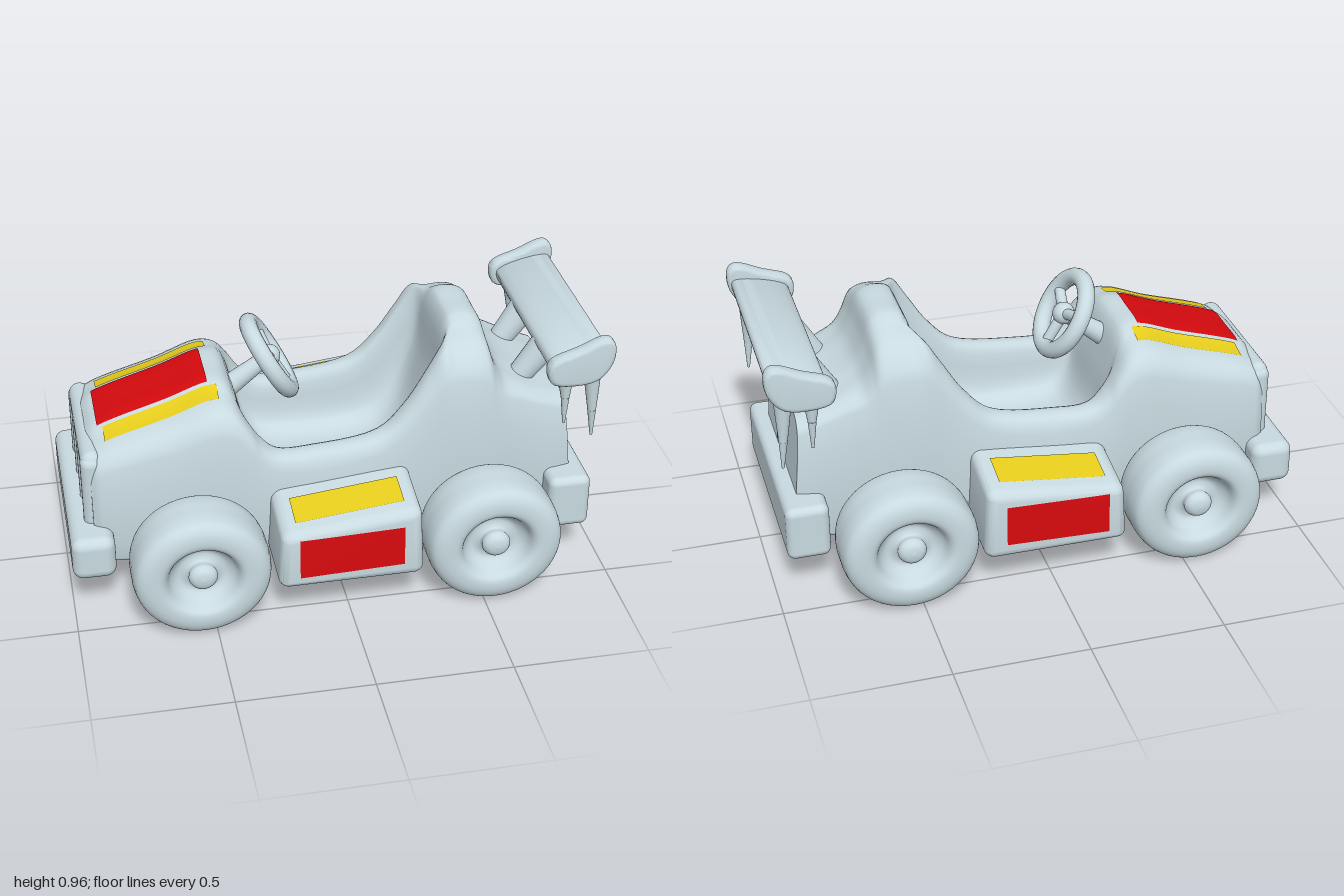
import * as THREE from 'three';
import { toCreasedNormals } from 'three/addons/utils/BufferGeometryUtils.js';
import { RoundedBoxGeometry } from 'three/addons/geometries/RoundedBoxGeometry.js';

const V = (x, y, z) => new THREE.Vector3(x, y, z);

// Body stations: x, half width, shoulder y, rim half width, rim y, inner half width, inner floor y
const STATIONS = [
  [-0.905, 0.285, 0.5, 0.25, 0.56, 0.17, 0.6],
  [-0.87, 0.305, 0.53, 0.265, 0.59, 0.17, 0.632],
  [-0.6, 0.32, 0.6, 0.275, 0.675, 0.17, 0.725],
  [-0.44, 0.328, 0.65, 0.28, 0.73, 0.17, 0.78],
  [-0.375, 0.33, 0.64, 0.285, 0.715, 0.19, 0.76],
  [-0.32, 0.335, 0.58, 0.3, 0.65, 0.22, 0.6],
  [-0.28, 0.335, 0.53, 0.3, 0.59, 0.23, 0.42],
  [-0.22, 0.335, 0.485, 0.31, 0.54, 0.24, 0.35],
  [-0.08, 0.34, 0.48, 0.31, 0.54, 0.245, 0.33],
  [0.16, 0.34, 0.525, 0.31, 0.58, 0.245, 0.34],
  [0.26, 0.338, 0.6, 0.3, 0.675, 0.24, 0.38],
  [0.34, 0.335, 0.7, 0.285, 0.8, 0.235, 0.48],
  [0.4, 0.335, 0.77, 0.27, 0.89, 0.215, 0.68],
  [0.44, 0.332, 0.785, 0.255, 0.89, 0.17, 0.94],
  [0.52, 0.33, 0.78, 0.255, 0.89, 0.17, 0.955],
  [0.565, 0.325, 0.76, 0.255, 0.87, 0.17, 0.93],
  [0.595, 0.32, 0.72, 0.255, 0.8, 0.17, 0.835],
  [0.63, 0.312, 0.69, 0.25, 0.745, 0.17, 0.77],
  [0.69, 0.3, 0.665, 0.25, 0.71, 0.17, 0.725],
  [0.8, 0.288, 0.62, 0.24, 0.66, 0.17, 0.68],
  [0.868, 0.275, 0.59, 0.23, 0.635, 0.16, 0.65],
];

// Smooth loft: closed cross-section splines, joined by splines along x
function bodyGeometry() {
  const M = 72, N = (STATIONS.length - 1) * 5, bottom = 0.15;
  const rings = STATIONS.map(([x, hw, ys, ht, yr, iw, fl]) => {
    const half = [
      [0, bottom], [hw * 0.5, bottom], [hw - 0.02, bottom], [hw, bottom + 0.02], [hw, ys], [ht, yr],
      [iw, yr + Math.max(0, fl - yr) * 0.6], [iw - 0.03, fl + (yr - fl) * 0.2], [iw * 0.6, fl], [0, fl],
    ];
    const loop = [...half, ...half.slice(1, -1).reverse().map(([z, y]) => [-z, y])];
    const slant = (y) => (x > 0.75 ? (0.65 - y) * 0.09 : 0);
    const curve = new THREE.CatmullRomCurve3(loop.map(([z, y]) => V(x + slant(y), y, z)), true);
    return Array.from({ length: M }, (_, j) => curve.getPoint(j / M));
  });
  const pos = [], idx = [];
  const lines = rings[0].map((_, j) => new THREE.CatmullRomCurve3(rings.map((r) => r[j])));
  for (let i = 0; i <= N; i++) lines.forEach((l) => pos.push(...l.getPoint(i / N).toArray()));
  for (let i = 0; i < N; i++) {
    for (let j = 0; j < M; j++) {
      const a = i * M + j, d = i * M + ((j + 1) % M);
      idx.push(a, a + M, d, a + M, d + M, d);
    }
  }
  // flat end caps with their own vertices
  [0, rings.length - 1].forEach((k) => {
    const c = pos.length / 3, ring = rings[k];
    const mid = ring.reduce((s, p) => s.add(p), V(0, 0, 0)).divideScalar(M);
    [mid, ...ring].forEach((p) => pos.push(...p.toArray()));
    for (let j = 0; j < M; j++) {
      const a = c + 1 + j, b = c + 1 + ((j + 1) % M);
      idx.push(c, ...(k ? [b, a] : [a, b]));
    }
  });
  const g = new THREE.BufferGeometry();
  g.setAttribute('position', new THREE.Float32BufferAttribute(pos, 3));
  g.setIndex(idx);
  g.computeVertexNormals();
  return g;
}

// Side pod: rounded box whose top rises to the rear and falls outward
function podGeometry(s) {
  const g = new RoundedBoxGeometry(0.54, 0.3, 0.36, 5, 0.04).translate(0, 0, s * 0.42);
  const p = g.attributes.position;
  for (let i = 0; i < p.count; i++) {
    const x = p.getX(i), z = p.getZ(i), t = (p.getY(i) + 0.15) / 0.3;
    const top = 0.432 + 0.11 * x - 0.17 * (Math.abs(z) - 0.42);
    p.setXYZ(i, x * (1 - 0.05 * t), 0.15 + t * (top - 0.15), z - s * 0.006 * t);
  }
  return toCreasedNormals(g, 0.7);
}

export function createModel() {
  const group = new THREE.Group();
  const mat = (name, color) => Object.assign(new THREE.MeshStandardMaterial({ color }), { name });
  const grey = mat('paleGrey', 0xc8dae0);
  const red = mat('red', 0xd60a0e);
  const yellow = mat('yellow', 0xf0d61e);
  red.side = yellow.side = THREE.DoubleSide;

  const add = (name, geo, material = grey, parent = group) => {
    const m = new THREE.Mesh(geo, material);
    m.name = name;
    parent.add(m);
    return m;
  };
  const box = (name, w, h, d, r, x, y, z) => add(name, new RoundedBoxGeometry(w, h, d, 5, r).translate(x, y, z));
  const rod = (name, a, b, ra, rb, parent = group) => {
    const m = add(name, new THREE.CylinderGeometry(rb, ra, a.distanceTo(b), 20), grey, parent);
    m.position.copy(a).lerp(b, 0.5);
    m.quaternion.setFromUnitVectors(V(0, 1, 0), b.clone().sub(a).normalize());
    return m;
  };
  // Thin painted panel draped on a part along a ray direction
  const decal = (name, target, material, corner, u, v, dir) => {
    const ray = new THREE.Raycaster();
    const g = new THREE.PlaneGeometry(1, 1, 16, 10);
    const p = g.attributes.position;
    for (let i = 0; i < p.count; i++) {
      const o = corner.clone().addScaledVector(u, p.getX(i) + 0.5).addScaledVector(v, p.getY(i) + 0.5);
      ray.set(o, dir);
      const hit = ray.intersectObject(target)[0];
      const q = (hit ? hit.point : o).clone().addScaledVector(dir, -0.004);
      p.setXYZ(i, q.x, q.y, q.z);
    }
    g.computeVertexNormals();
    add(name, g, material);
  };
  const down = V(0, -1, 0);

  // Body with open cockpit, and its painted panels
  const body = add('body', bodyGeometry());
  decal('hoodPanel', body, red, V(-0.86, 2, 0.125), V(0.41, 0, 0), V(0, 0, -0.25), down);
  for (const s of [1, -1]) {
    decal('hoodStripe', body, yellow, V(-0.84, 2, s * 0.18 + 0.038), V(0.42, 0, 0), V(0, 0, -0.076), down);
  }
  decal('rearPanel', body, red, V(2, 0.385, 0.085), V(0, 0, -0.17), V(0, 0.25, 0), V(-1, 0, 0));

  // Nose lip and grille ribs
  box('noseLip', 0.08, 0.1, 0.56, 0.04, -0.895, 0.555, 0);
  for (const z of [-0.245, -0.085, 0.085, 0.245]) box('grilleRib', 0.08, 0.38, 0.085, 0.035, -0.897, 0.4, z);

  // Bumpers
  box('frontBumper', 0.16, 0.17, 0.82, 0.04, -0.917, 0.235, 0);
  box('rearBumper', 0.16, 0.215, 0.81, 0.03, 0.873, 0.256, 0);

  // Side pods with red flank and yellow top
  for (const s of [1, -1]) {
    const pod = add('sidePod', podGeometry(s));
    decal('podTopPanel', pod, yellow, V(-0.2, 2, s * 0.465 + 0.065), V(0.4, 0, 0), V(0, 0, -0.13), down);
    decal('podSidePanel', pod, red, V(-0.195, 0.2, s * 2), V(0.385, 0.012, 0), V(0, 0.158, 0), V(0, 0, -s));
  }

  // Wheels: dished tyre profile revolved around the axle
  const side = [[0.05, 0.055], [0.085, 0.045], [0.115, 0.07], [0.135, 0.108], [0.16, 0.122], [0.205, 0.118], [0.238, 0.095], [0.249, 0.05]];
  const profile = [
    ...side.map(([r, y]) => [r, -y]), [0.25, 0], ...side.slice().reverse(), [0.052, 0.085], [0.034, 0.108], [0, 0.115],
  ].map(([r, y]) => new THREE.Vector2(r, y));
  const smooth = new THREE.SplineCurve(profile).getPoints(80);
  smooth.forEach((p) => { p.x = Math.max(0, p.x); });
  for (const x of [-0.545, 0.537]) {
    for (const s of [1, -1]) {
      const wheel = add('wheel', new THREE.LatheGeometry(smooth, 48));
      wheel.rotation.x = s * Math.PI / 2;
      wheel.scale.set(1.01, 1, 0.97);
      wheel.position.set(x, 0.243, s * 0.5);
    }
    rod('axle', V(x, 0.243, -0.47), V(x, 0.243, 0.47), 0.052, 0.052);
  }

  // Steering wheel and column
  const steering = new THREE.Group();
  steering.name = 'steeringWheel';
  steering.position.set(-0.2, 0.79, 0);
  steering.rotation.z = 0.53;
  group.add(steering);
  add('steeringRim', new THREE.TorusGeometry(0.146, 0.033, 14, 48).rotateY(Math.PI / 2), grey, steering);
  add('steeringHub', new THREE.SphereGeometry(0.042, 20, 14), grey, steering);
  for (const a of [0.35, Math.PI - 0.35, -Math.PI / 2]) {
    rod('steeringSpoke', V(0, 0, 0), V(0, Math.sin(a) * 0.14, Math.cos(a) * 0.14), 0.022, 0.02, steering);
  }
  rod('steeringColumn', V(0, 0, 0), V(-0.2, -0.02, 0), 0.028, 0.042, steering);

  // Rear wing: blade, end plates, struts and hanging spikes
  const slab = (name, pts, depth, z) => {
    const outline = new THREE.CatmullRomCurve3(pts.map(([x, y]) => V(x, y, 0)), true).getPoints(48).slice(0, -1);
    const shape = new THREE.Shape(outline.map((p) => new THREE.Vector2(p.x, p.y)));
    const b = 0.018;
    const g = new THREE.ExtrudeGeometry(shape, {
      depth: depth - 2 * b, bevelEnabled: true, bevelSize: b, bevelOffset: -b, bevelThickness: b, bevelSegments: 4,
    });
    add(name, toCreasedNormals(g.translate(0, 0, z - depth / 2 + b), 0.8));
  };
  slab('wingBlade', [[0.785, 0.81], [0.775, 0.86], [0.94, 0.912], [0.98, 0.905], [0.975, 0.85], [0.92, 0.802]], 0.8, 0);
  for (const s of [1, -1]) {
    slab('wingEndPlate', [[0.775, 0.79], [0.752, 0.82], [0.757, 0.88], [0.86, 0.925], [0.965, 0.963], [0.993, 0.94], [0.99, 0.86], [0.93, 0.79]], 0.058, s * 0.401);
    rod('wingStrut', V(0.7, 0.65, s * 0.138), V(0.84, 0.84, s * 0.147), 0.042, 0.058);
    for (const [x, tipX, tipY] of [[0.83, 0.835, 0.6], [0.93, 0.945, 0.535]]) {
      const kneeX = x * 0.4 + tipX * 0.6, knee = V(kneeX, tipY + 0.11, s * 0.372);
      rod('wingSpike', V(x, 0.83, s * 0.365), knee, 0.036, 0.016);
      rod('wingSpikeTip', knee, V(tipX, tipY, s * 0.37), 0.016, 0.005);
    }
  }
  return group;
}
